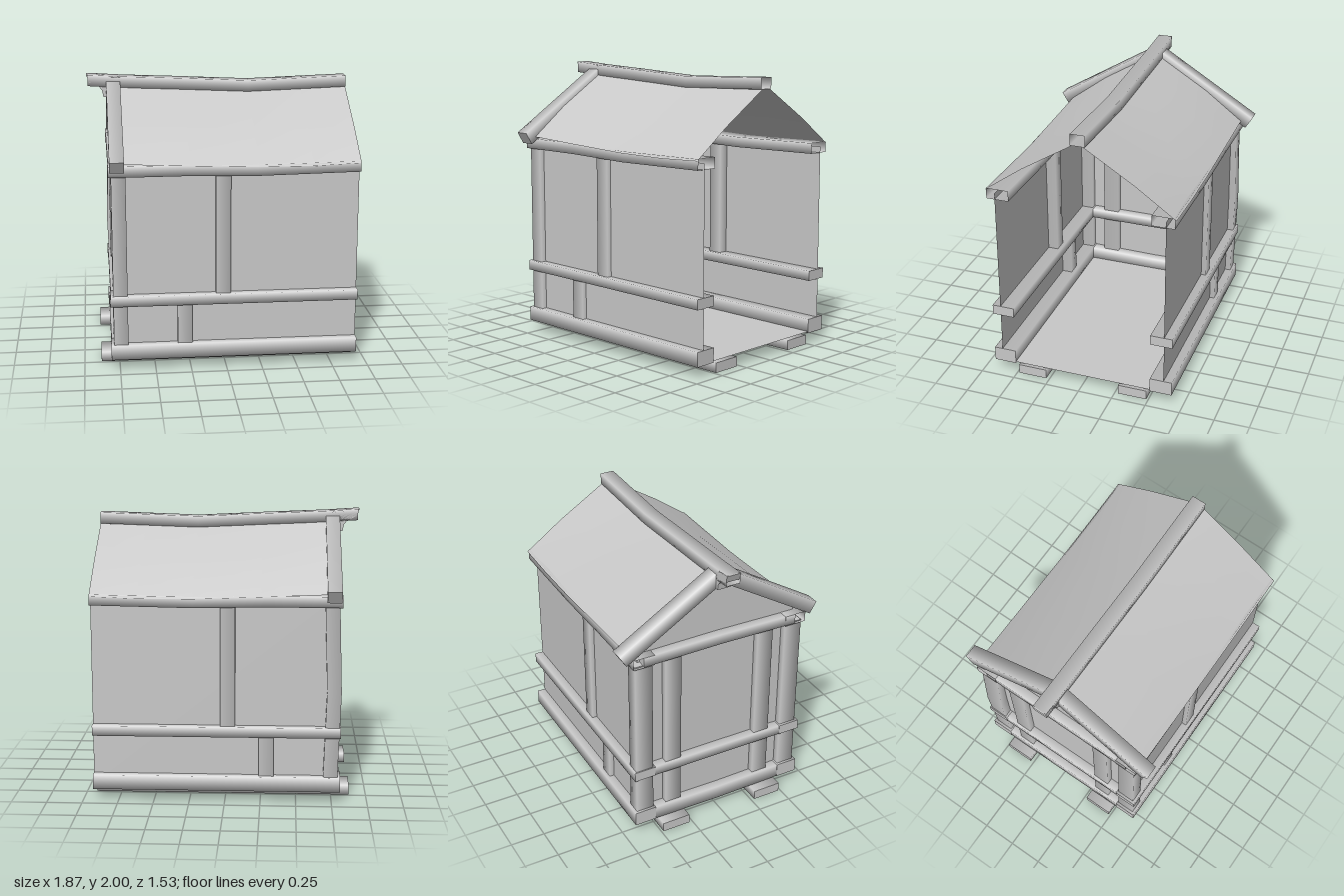
import * as THREE from 'three';

const V = (x, y, z) => new THREE.Vector3(x, y, z);
const X = V(1, 0, 0), Y = V(0, 1, 0), Z = V(0, 0, 1);

export function createModel() {
  const house = new THREE.Group();
  house.name = 'openShed';
  const timber = new THREE.MeshStandardMaterial({ color: 0xc8c8c8, side: THREE.DoubleSide });
  timber.name = 'paleGreyTimber';

  function add(name, geometry) {
    const mesh = new THREE.Mesh(geometry, timber);
    mesh.name = name;
    house.add(mesh);
    return mesh;
  }

  // Softly shaded square timber through a few stations; a and b are half sizes along u and w
  function beam(name, points, u, w, a, b, capped = true) {
    const dir = points[points.length - 1].clone().sub(points[0]);
    const v = w.clone();
    if (u.clone().cross(v).dot(dir) < 0) v.negate();
    const corners = [[1, 1], [-1, 1], [-1, -1], [1, -1]];
    const pos = [], nor = [], idx = [];
    const corner = (p, [s, t]) => p.clone().addScaledVector(u, s * a).addScaledVector(v, t * b);
    for (const p of points) {
      for (const c of corners) {
        pos.push(...corner(p, c));
        nor.push(...u.clone().multiplyScalar(c[0]).addScaledVector(v, c[1]).normalize());
      }
    }
    for (let s = 0; s < points.length - 1; s++) {
      for (let i = 0; i < 4; i++) {
        const p = s * 4 + i, q = s * 4 + (i + 1) % 4;
        idx.push(p, q, q + 4, p, q + 4, p + 4);
      }
    }
    if (capped) {
      dir.normalize();
      [[points[0], -1], [points[points.length - 1], 1]].forEach(([p, sign]) => {
        const n = pos.length / 3;
        for (const c of corners) {
          pos.push(...corner(p, c));
          nor.push(...dir.clone().multiplyScalar(sign));
        }
        if (sign > 0) idx.push(n, n + 1, n + 2, n, n + 2, n + 3);
        else idx.push(n, n + 2, n + 1, n, n + 3, n + 2);
      });
    }
    const g = new THREE.BufferGeometry();
    g.setAttribute('position', new THREE.Float32BufferAttribute(pos, 3));
    g.setAttribute('normal', new THREE.Float32BufferAttribute(nor, 3));
    g.setIndex(idx);
    return add(name, g);
  }

  // Upright post, optionally bowed at mid height
  const post = (name, x, z, y0, y1, a, b, bowX = 0, bowZ = 0) =>
    beam(name, [V(x, y0, z), V(x + bowX, (y0 + y1) / 2, z + bowZ), V(x, y1, z)], X, Z, a, b);

  for (const side of [1, -1]) {
    const label = side > 0 ? 'front' : 'back';
    const z = side * 0.59;

    // Skid, sill, middle rail and sagging wall plate
    beam(label + 'Skid', [V(-0.88, 0.035, side * 0.38), V(0.93, 0.035, side * 0.38)], Y, Z, 0.035, 0.105);
    beam(label + 'Sill', [V(-0.81, 0.13, z), V(0.93, 0.13, z)], Y, Z, 0.052, 0.08);
    beam(label + 'Rail', [V(-0.81, 0.505, z), V(0.93, 0.505, z)], Y, Z, 0.036, 0.08);
    beam(label + 'WallPlate', [V(-0.81, 1.43, z), V(-0.3, 1.432, z), V(0.22, 1.422, z), V(0.93, 1.435, z)],
      Y, Z, 0.038, 0.08, false);

    // Long wall
    const wall = new THREE.PlaneGeometry(1.67, 1.34);
    if (side < 0) wall.rotateY(Math.PI);
    wall.translate(0.095, 0.77, side * 0.61);
    add(label + 'Wall', wall);

    // Posts of the long wall and of the closed end
    post(label + 'CornerPost', -0.74, side * 0.585, 0.18, 1.4, 0.05, 0.065,
      side < 0 ? -0.02 : 0, side < 0 ? -0.01 : 0);
    post(label + 'MiddlePost', -0.02, z, 0.54, 1.4, 0.052, 0.055);
    post(label + 'LowerPost', -0.29, z, 0.18, 0.47, 0.052, 0.055);
    post(label + 'EndPost', -0.74, side * 0.36, 0.18, 1.4, 0.05, 0.06);

    // Barge rafter on the closed gable
    const slope = V(0, -0.53, side * 0.85).normalize();
    const normal = V(0, 0.85, side * 0.53).normalize();
    beam(label + 'BargeRafter', [V(-0.75, 1.91, side * 0.03), V(-0.75, 1.475, side * 0.74)],
      X, normal, 0.05, 0.048);
    // Inner rafter under the roof
    const top = V(-0.68, 1.84, side * 0.06);
    beam(label + 'InnerRafter', [top, top.clone().addScaledVector(slope, 0.6)], X, normal, 0.03, 0.015);

    // Sagging roof sheet, a little steeper toward the eave
    const xs = [-0.72, -0.25, 0.22, 0.6, 0.93];
    const rows = [
      [0.04, [1.915, 1.89, 1.868, 1.875, 1.885]],
      [0.4, [1.695, 1.675, 1.655, 1.652, 1.66]],
      [0.68, [1.485, 1.465, 1.447, 1.447, 1.46]],
    ];
    const roof = new THREE.PlaneGeometry(1, 1, xs.length - 1, rows.length - 1);
    rows.forEach(([rz, ys], r) => ys.forEach((y, i) => {
      const column = side > 0 ? i : xs.length - 1 - i;
      roof.attributes.position.setXYZ(r * xs.length + i, xs[column], ys[column], side * rz);
    }));
    roof.computeVertexNormals();
    add(label + 'RoofSheet', roof);
  }

  // Closed gable end wall
  const gable = new THREE.Shape([[-0.61, 0.1], [0.61, 0.1], [0.61, 1.5], [0, 1.9], [-0.61, 1.5]]
    .map(([x, y]) => new THREE.Vector2(x, y)));
  add('gableWall', new THREE.ShapeGeometry(gable).rotateY(-Math.PI / 2).translate(-0.74, 0, 0));

  // Cross timbers of the closed end
  for (const [name, y, h, bow] of [['endSill', 0.13, 0.05, -0.01], ['endRail', 0.505, 0.035, 0], ['endPlate', 1.43, 0.036, 0.008]]) {
    beam(name, [V(-0.735, y, -0.59), V(-0.735, y + bow, 0), V(-0.735, y, 0.59)], Y, X, h, 0.072);
  }

  // Floor
  add('floor', new THREE.PlaneGeometry(1.67, 1.22).rotateX(-Math.PI / 2).translate(0.095, 0.09, 0));

  // Sagging ridge beam with an open end
  beam('ridgeBeam', [V(-0.93, 1.96, 0), V(-0.7, 1.945, 0), V(-0.3, 1.928, 0), V(0.22, 1.903, 0), V(0.93, 1.927, 0)],
    Y, Z, 0.04, 0.052, false);
  // Carved bracket closing the ridge end
  const bracket = new THREE.Shape([[-0.94, 2], [-0.92, 1.945], [-0.86, 1.925], [-0.83, 1.89], [-0.82, 1.84], [-0.7, 1.84], [-0.7, 1.983]]
    .map(([x, y]) => new THREE.Vector2(x, y)));
  add('ridgeBracket', new THREE.ExtrudeGeometry(bracket, { depth: 0.104, bevelEnabled: false }).translate(0, 0, -0.052));

  return house;
}
